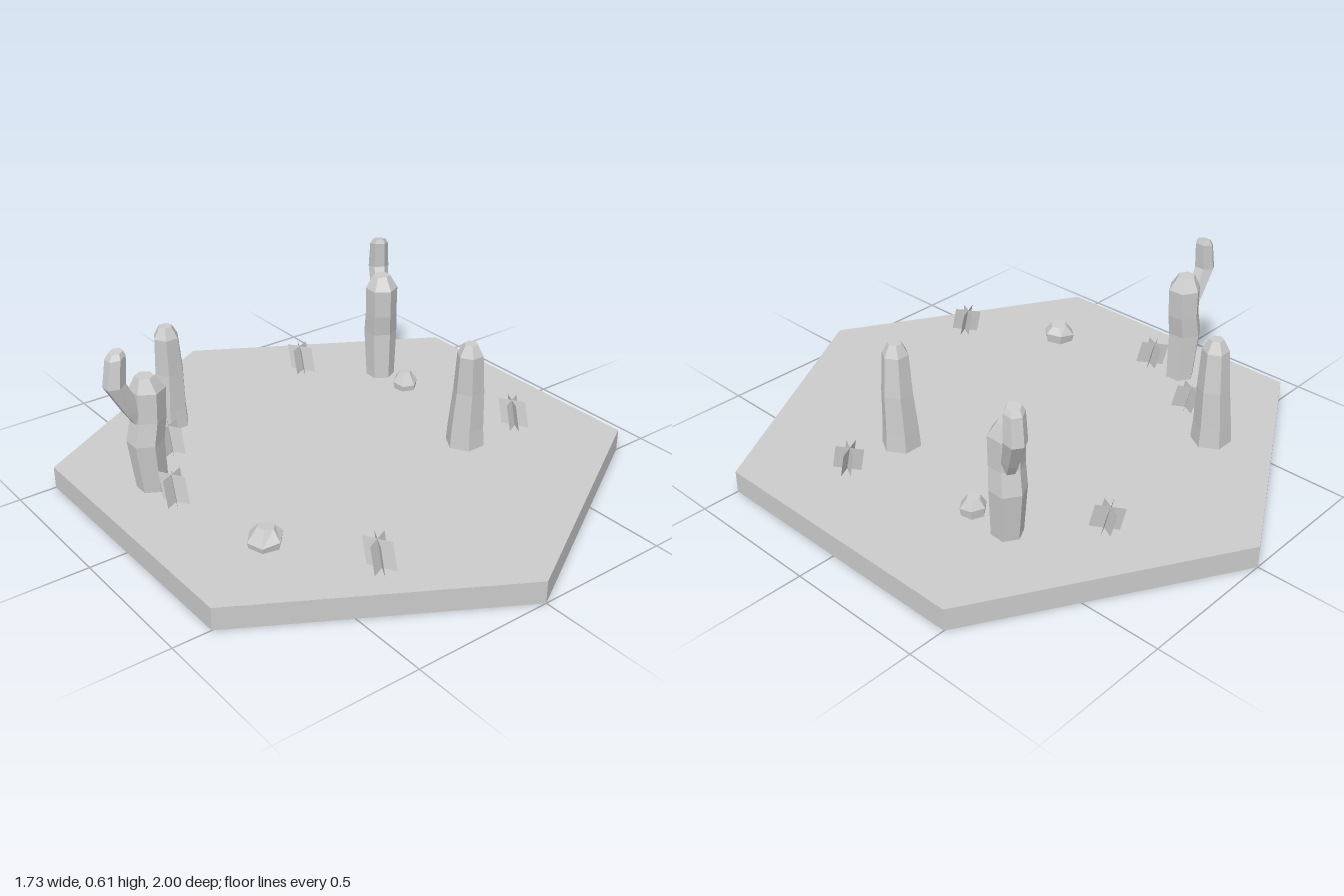
import * as THREE from 'three';

const solid = new THREE.MeshStandardMaterial({ color: 0xcccccc, flatShading: true });
const thin = new THREE.MeshStandardMaterial({ color: 0xcccccc, flatShading: true, side: THREE.DoubleSide });

function addMesh(parent, name, geometry, material = solid) {
  const mesh = new THREE.Mesh(geometry, material);
  mesh.name = name;
  parent.add(mesh);
  return mesh;
}

// Six-sided solid through rings [x, y, z, radius, tilt], closed at both ends.
function stem(rings) {
  const pos = [], idx = [], n = 6;
  for (const [x, y, z, r, tilt = 0] of rings) {
    for (let i = 0; i < n; i++) {
      const a = (i / n) * Math.PI * 2;
      const side = Math.sin(a) * r;
      pos.push(x + side * Math.cos(tilt), y + side * Math.sin(tilt), z + Math.cos(a) * r);
    }
  }
  for (let k = 0; k < rings.length - 1; k++) {
    for (let i = 0; i < n; i++) {
      const a = k * n + i, b = k * n + (i + 1) % n;
      idx.push(a, b, b + n, a, b + n, a + n);
    }
  }
  const top = (rings.length - 1) * n;
  for (let i = 1; i < n - 1; i++) {
    idx.push(0, i + 1, i);
    idx.push(top, top + i, top + i + 1);
  }
  const g = new THREE.BufferGeometry();
  g.setAttribute('position', new THREE.Float32BufferAttribute(pos, 3));
  g.setIndex(idx);
  g.computeVertexNormals();
  return g;
}

// Tall tapering cactus without arms
function columnCactus(x, z) {
  const g = new THREE.Group();
  g.name = 'columnCactus';
  const c = Math.cos(Math.PI / 6), s = Math.sin(Math.PI / 6);
  const lean = (y, dx, dz, r) => [dx * c - dz * s, y, dx * s + dz * c, r];
  addMesh(g, 'columnStem', stem([
    lean(0.08, 0, 0, 0.07), lean(0.15, 0, 0, 0.065), lean(0.29, 0.004, 0.004, 0.056),
    lean(0.43, -0.004, 0.012, 0.047), lean(0.47, -0.004, 0.012, 0.025),
  ]));
  g.position.set(x, 0, z);
  g.rotation.y = Math.PI / 6;
  return g;
}

// Cactus with one raised arm on its local +x side
function armedCactus(x, z, turn) {
  const g = new THREE.Group();
  g.name = 'armedCactus';
  addMesh(g, 'body', stem([
    [0, 0.07, 0, 0.053], [0.015, 0.26, 0, 0.062],
    [-0.001, 0.34, 0, 0.059], [-0.005, 0.445, 0, 0.06], [0.002, 0.492, 0, 0.032],
  ]));
  addMesh(g, 'arm', stem([
    [0.03, 0.34, 0, 0.026, -0.5], [0.058, 0.39, 0, 0.031, -0.45],
    [0.11, 0.49, 0, 0.038, -0.15], [0.098, 0.585, 0, 0.034, -0.2],
    [0.095, 0.603, 0, 0.024, -0.2],
  ]));
  g.position.set(x, 0, z);
  g.rotation.y = turn;
  return g;
}

// Three crossed upright blades, sheared toward the back
function grassTuft(x, z) {
  const g = new THREE.Group();
  g.name = 'grassTuft';
  for (const angle of [0.45, 1.1, 2.1]) {
    const blade = new THREE.PlaneGeometry(0.1, 0.104);
    blade.translate(0, 0.121, 0);
    blade.rotateY(angle);
    const p = blade.attributes.position;
    for (let v = 0; v < p.count; v++) {
      p.setZ(v, p.getZ(v) + 0.01 - (p.getY(v) - 0.08) * 0.25);
    }
    blade.computeVertexNormals();
    addMesh(g, 'grassBlade', blade, thin);
  }
  g.position.set(x, 0, z);
  return g;
}

export function createModel() {
  const model = new THREE.Group();
  model.name = 'desertTile';

  // Hexagonal ground: hollow tray, open underneath
  addMesh(model, 'groundRim', new THREE.CylinderGeometry(1, 1, 0.08, 6, 1, true), thin).position.y = 0.04;
  const top = addMesh(model, 'groundTop', new THREE.CircleGeometry(1, 6, Math.PI / 2), thin);
  top.rotation.x = -Math.PI / 2;
  top.position.y = 0.08;

  // Cacti
  model.add(columnCactus(-0.38, -0.535), columnCactus(0.37, 0.225));
  model.add(armedCactus(-0.655, -0.19, Math.PI), armedCactus(0.477, -0.383, 1.0));

  // Faceted rocks, slightly sunk into the ground
  for (const [x, z, r, turn] of [[-0.555, 0.325, 0.061, 0.3], [0.478, -0.233, 0.047, 1.2]]) {
    const rock = addMesh(model, 'rock', stem([
      [0, 0.07, 0, r * 0.88], [0, 0.107, 0, r, 0.15], [r * 0.1, 0.143, 0, r * 0.5, -0.1],
    ]));
    rock.position.set(x, 0, z);
    rock.rotation.y = turn;
  }

  // Grass tufts
  for (const [x, z] of [[0.255, -0.6], [-0.485, -0.355], [-0.645, -0.065], [0.597, 0.235], [-0.348, 0.635]]) {
    model.add(grassTuft(x, z));
  }
  return model;
}
